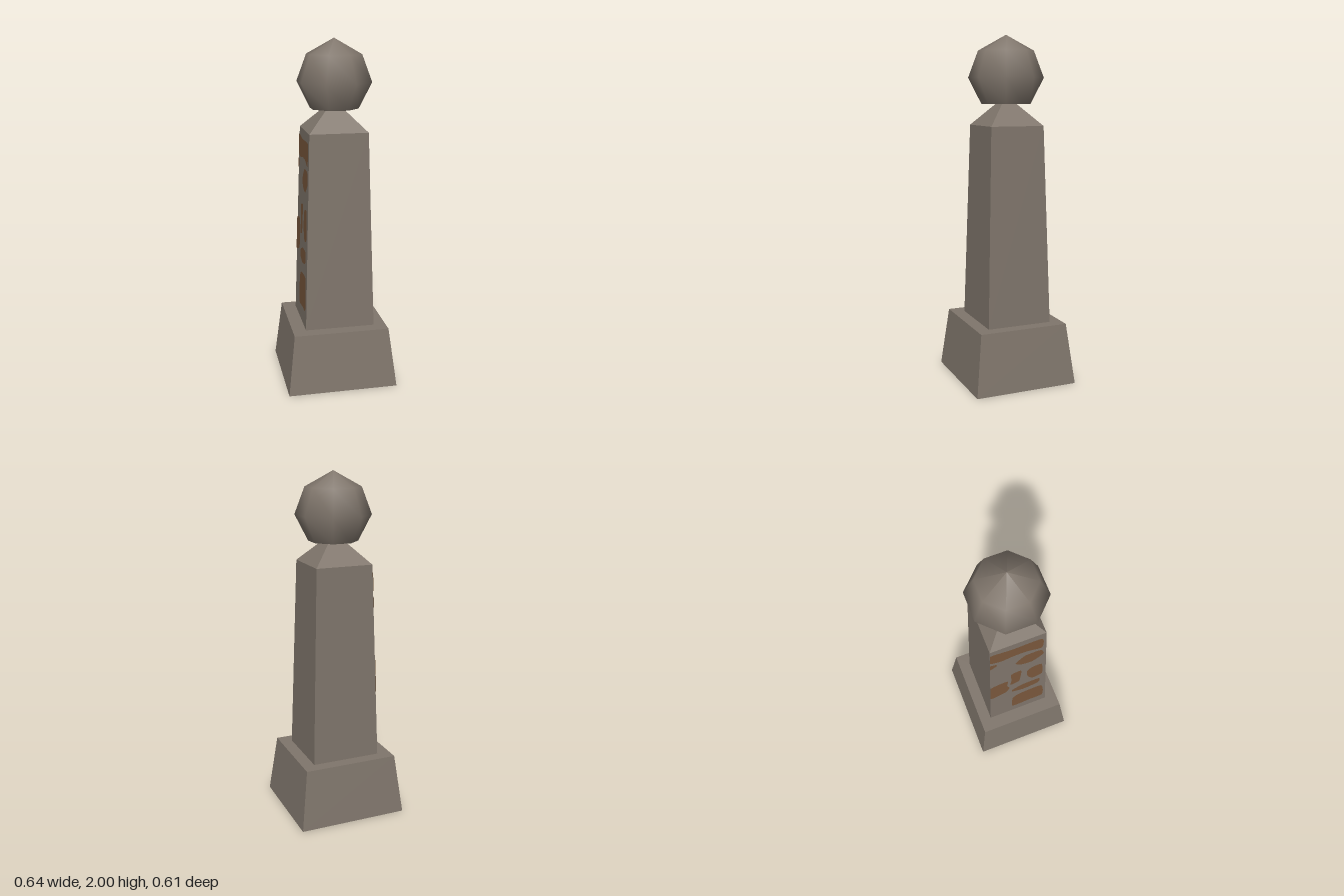
import * as THREE from 'three';

const stone = new THREE.MeshStandardMaterial({ color: 0x80766c, side: THREE.DoubleSide });
stone.name = 'weatheredStone';
const rust = new THREE.MeshStandardMaterial({ color: 0x7a583c, side: THREE.DoubleSide });
rust.name = 'brownStain';

// Flat-faced shell through rectangular rings [y, xMin, xMax, zMin, zMax]
function rectangularShell(rings) {
  const corners = ([y, x0, x1, z0, z1]) => [[x0, y, z1], [x1, y, z1], [x1, y, z0], [x0, y, z0]];
  const pos = [];
  for (let r = 0; r < rings.length - 1; r++) {
    const a = corners(rings[r]), b = corners(rings[r + 1]);
    for (let i = 0; i < 4; i++) {
      const j = (i + 1) % 4;
      pos.push(...a[i], ...a[j], ...b[j], ...a[i], ...b[j], ...b[i]);
    }
  }
  const g = new THREE.BufferGeometry();
  g.setAttribute('position', new THREE.Float32BufferAttribute(pos, 3));
  g.computeVertexNormals();
  return g;
}

const FOOT = [0.35, -0.2, 0.205, -0.195, 0.188];
const SHOULDER = [1.49, -0.165, 0.17, -0.163, 0.155];

// Stain outlines on the -x face: u runs back to front, v bottom to top
const stains = [
  [[0, 0.96], [0.4, 0.95], [0.92, 0.95], [0.92, 0.84], [0.65, 0.86], [0.4, 0.86], [0.2, 0.85], [0, 0.87]],
  [[0.45, 0.75], [0.62, 0.81], [0.9, 0.81], [0.95, 0.75], [0.75, 0.7], [0.55, 0.71]],
  [[0, 0.835], [0.1, 0.83], [0.12, 0.81], [0, 0.785]],
  [[0.37, 0.61], [0.55, 0.62], [0.53, 0.5], [0.5, 0.47], [0.36, 0.46], [0.38, 0.53]],
  [[0.66, 0.58], [0.74, 0.61], [0.92, 0.61], [0.93, 0.47], [0.76, 0.45], [0.67, 0.5]],
  [[0, 0.51], [0.3, 0.53], [0.3, 0.46], [0.34, 0.42], [0.28, 0.37], [0, 0.345]],
  [[0.4, 0.37], [0.6, 0.4], [0.88, 0.4], [0.86, 0.34], [0.6, 0.32], [0.4, 0.34]],
  [[0.4, 0.22], [0.52, 0.26], [0.92, 0.265], [0.94, 0.1], [0.7, 0.09], [0.4, 0.085]],
];

function stainGeometry(outline) {
  const curve = new THREE.CatmullRomCurve3(
    outline.map(([u, v]) => new THREE.Vector3(u, v * 3, 0)), true, 'catmullrom', 0.3);
  const shape = new THREE.Shape(curve.getPoints(40).map((p) => new THREE.Vector2(p.x, p.y)));
  const g = new THREE.ShapeGeometry(shape);
  const p = g.attributes.position;
  const mix = THREE.MathUtils.lerp;
  for (let i = 0; i < p.count; i++) {
    const u = THREE.MathUtils.clamp(p.getX(i), 0, 1), v = p.getY(i) / 3;
    const [y, x, , z0, z1] = FOOT.map((f, k) => mix(f, SHOULDER[k], v));
    p.setXYZ(i, x - 0.003, y, mix(z0, z1, u));
  }
  g.computeVertexNormals();
  return g;
}

export function createModel() {
  const group = new THREE.Group();
  group.name = 'stoneBollard';
  const add = (name, geometry, material) => {
    const mesh = new THREE.Mesh(geometry, material);
    mesh.name = name;
    group.add(mesh);
    return mesh;
  };

  // Hollow plinth with a flat ledge around the shaft
  add('plinth', rectangularShell([
    [0, -0.32, 0.32, -0.305, 0.303],
    [0.35, -0.278, 0.276, -0.264, 0.261],
    FOOT,
  ]), stone);

  // Tapered shaft and its pyramid cap
  add('shaft', rectangularShell([FOOT, SHOULDER]), stone);
  add('pyramidCap', rectangularShell([SHOULDER, [1.66, 0.002, 0.003, -0.004, -0.003]]), stone);

  // Eight-sided ball, open underneath, smooth shaded
  const profile = [[0.141, 1.612], [0.2165, 1.76], [0.159, 1.912], [0, 2]]
    .map(([r, y]) => new THREE.Vector2(r, y));
  const ball = add('ballFinial', new THREE.LatheGeometry(profile, 8, Math.PI / 8), stone);
  ball.position.set(0.005, 0, -0.002);

  // Brown stains on one side of the shaft
  stains.forEach((outline, i) => add(`stain${i + 1}`, stainGeometry(outline), rust));

  return group;
}
